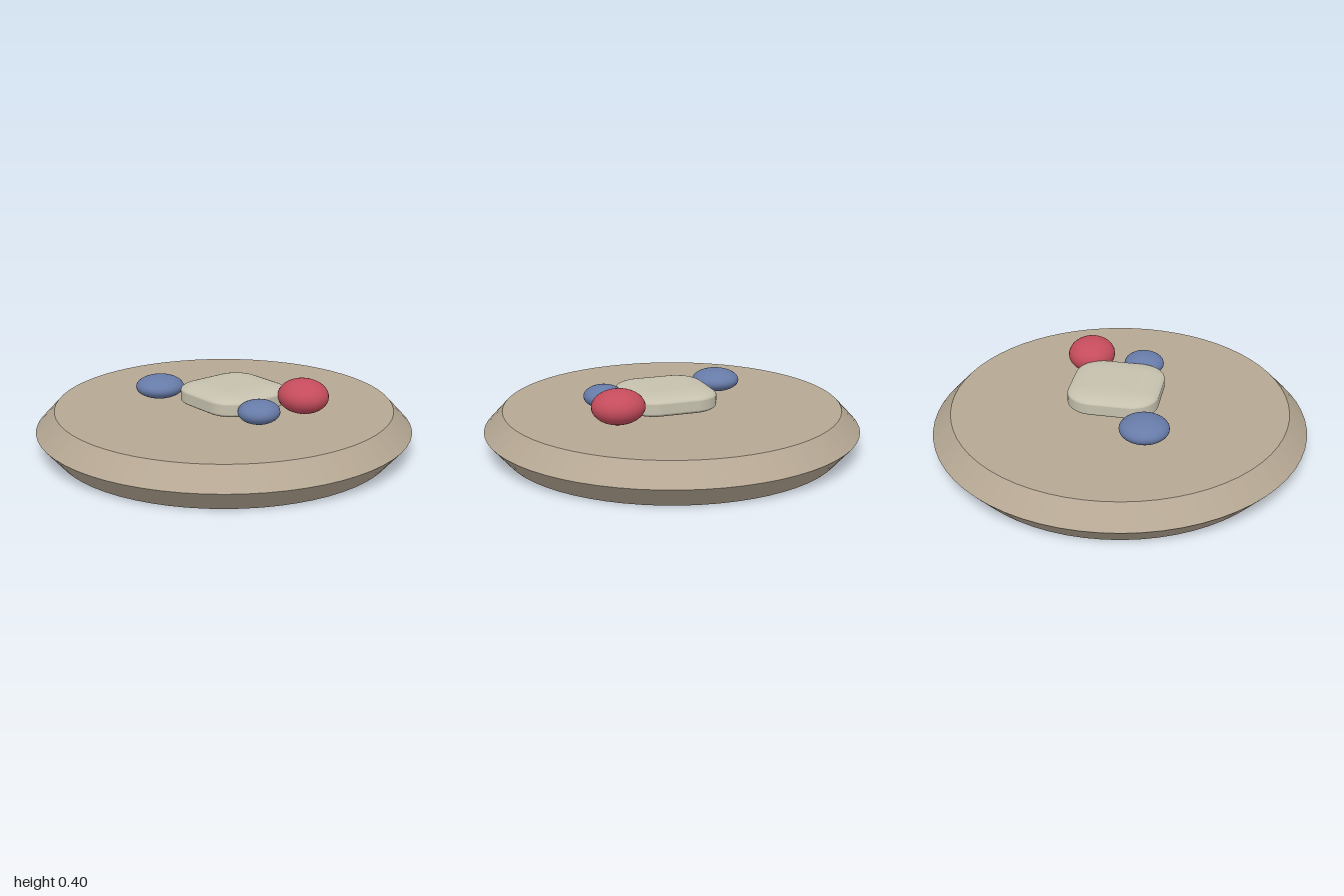
import * as THREE from 'three';
import { RoundedBoxGeometry } from 'three/addons/geometries/RoundedBoxGeometry.js';

function addPart(group, name, geometry, color, position, scale = [1, 1, 1], flatShading = false) {
  const mesh = new THREE.Mesh(geometry, new THREE.MeshStandardMaterial({ color, flatShading }));
  mesh.name = name;
  mesh.position.set(...position);
  mesh.scale.set(...scale);
  group.add(mesh);
}

export function createModel() {
  const group = new THREE.Group();
  group.name = 'platterWithPebbles';

  // Round platter with a pointed rim
  const profile = [[0, 0], [0.9, 0], [1, 0.115], [0.9, 0.222], [0, 0.222]]
    .map(([r, y]) => new THREE.Vector2(r, y));
  addPart(group, 'platter', new THREE.LatheGeometry(profile, 64), 0xb5a793, [0, 0, 0], [1, 1, 1], true);

  // Flattened soft block in the middle
  addPart(group, 'block', new RoundedBoxGeometry(1, 1, 1, 6, 0.3), 0xc6c1ae,
    [0.047, 0.285, -0.028], [0.482, 0.12, 0.487]);

  // Squashed balls around the block
  const ball = new THREE.SphereGeometry(1, 32, 20);
  addPart(group, 'redBall', ball, 0xc54c5c, [0.368, 0.312, -0.232], [0.139, 0.09, 0.129]);
  addPart(group, 'largeBlueBall', ball, 0x677ba8, [-0.321, 0.285, 0.187], [0.129, 0.06, 0.13]);
  addPart(group, 'smallBlueBall', ball, 0x677ba8, [0.36, 0.285, 0.067], [0.107, 0.06, 0.11]);

  return group;
}
